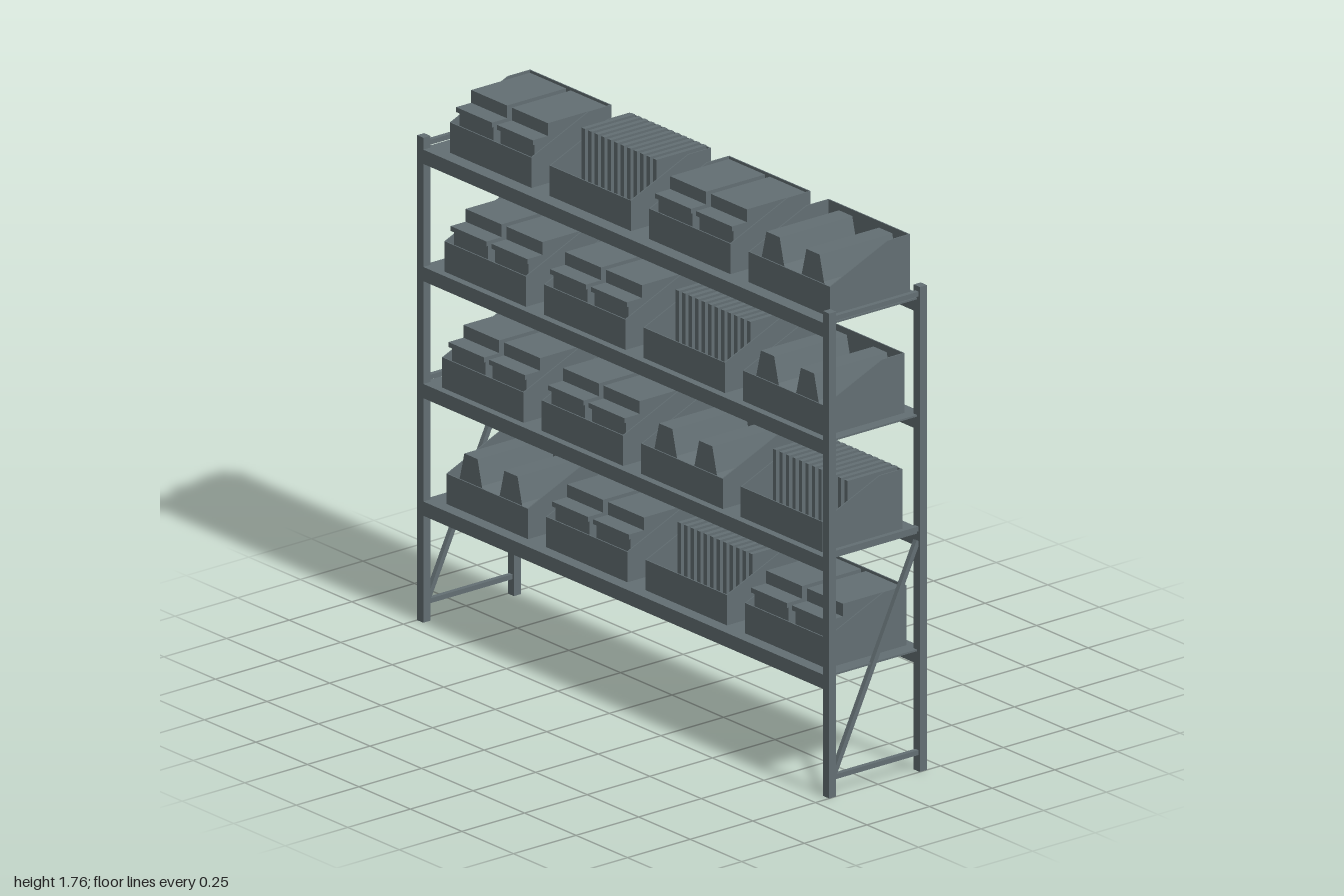
import * as THREE from 'three';

const steel = new THREE.MeshStandardMaterial({ color: 0x636f73, side: THREE.DoubleSide });
steel.name = 'grey steel';

const BIN_W = 0.396, BIN_D = 0.32, BIN_H = 0.197, LIP = 0.1;

function add(parent, name, geometry, x = 0, y = 0, z = 0) {
  const mesh = new THREE.Mesh(geometry, steel);
  mesh.name = name;
  mesh.position.set(x, y, z);
  parent.add(mesh);
  return mesh;
}

// Box given by its limits on each axis
function box(parent, name, x0, x1, y0, y1, z0, z1) {
  return add(parent, name, new THREE.BoxGeometry(x1 - x0, y1 - y0, z1 - z0),
    (x0 + x1) / 2, (y0 + y1) / 2, (z0 + z1) / 2);
}

function polygon(points) {
  return new THREE.Shape(points.map(([x, y]) => new THREE.Vector2(x, y)));
}

// Open picking bin with a low front lip and sloped side walls
function makeBin() {
  const bin = new THREE.Group();
  const w = BIN_W / 2, d = BIN_D / 2, t = 0.004;
  box(bin, 'binFloor', -w, w, 0, t, -d, d);
  box(bin, 'binBack', -w, w, 0, BIN_H, -d, -d + t);
  box(bin, 'binLip', -w, w, 0, LIP, d - t, d);
  const side = polygon([[-d, 0], [d, 0], [d, BIN_H], [d - 0.09, BIN_H], [-d, LIP]]);
  for (const x of [-w, w - t]) {
    const geometry = new THREE.ExtrudeGeometry(side, { depth: t, bevelEnabled: false });
    geometry.rotateY(Math.PI / 2);
    add(bin, 'binSide', geometry, x);
  }
  return bin;
}

// Contents of the bins
const fill = {
  // two stacks of lidded cartons, the upper one set back
  cartons(bin) {
    for (const s of [-1, 1]) {
      const c = s * 0.099;
      box(bin, 'lowerCarton', c - 0.082, c + 0.082, 0.004, 0.134, -0.145, 0.135);
      box(bin, 'cartonLid', c - 0.087, c + 0.087, 0.134, 0.15, -0.15, 0.145);
      box(bin, 'upperCarton', c - 0.087, c + 0.087, 0.15, 0.192, -0.15, 0.085);
    }
  },
  // row of upright plates
  plates(bin) {
    const n = 12, pitch = 0.0315;
    for (let i = 0; i < n; i++) {
      const x = (i - (n - 1) / 2) * pitch;
      box(bin, 'uprightPlate', x - 0.008, x + 0.008, 0.004, 0.202, -0.155, 0.045);
    }
  },
  // two long tapered blocks
  wedges(bin) {
    const shape = polygon([[-0.09, 0.004], [0.09, 0.004], [0.053, 0.1], [0.032, 0.183], [-0.032, 0.183], [-0.053, 0.1]]);
    for (const s of [-1, 1]) {
      add(bin, 'taperedBlock', new THREE.ExtrudeGeometry(shape, { depth: 0.29, bevelEnabled: false }),
        s * 0.097, 0, -0.145);
    }
  },
};

export function createModel() {
  const model = new THREE.Group();
  model.name = 'shelvingRack';

  // End frames: posts, horizontal ties and one diagonal each
  for (const s of [-1, 1]) {
    const frame = new THREE.Group();
    frame.name = s > 0 ? 'leftFrame' : 'rightFrame';
    const x = s * 0.985;
    for (const z of [-0.181, 0.181]) {
      box(frame, 'post', x - 0.015, x + 0.015, 0, 1.6, z - 0.014, z + 0.014);
    }
    for (const y of [0.062, 0.8, 1.575]) {
      box(frame, 'tie', x - 0.008, x + 0.008, y - 0.008, y + 0.008, -0.168, 0.168);
    }
    const dy = 0.69, dz = -0.334;
    const brace = add(frame, 'diagonalBrace',
      new THREE.BoxGeometry(0.016, Math.hypot(dy, dz), 0.016), x, 0.415, 0);
    brace.rotation.x = Math.atan2(dz, dy);
    model.add(frame);
  }

  // Shelves from bottom to top with their four bins
  const rows = [
    { y: 0.4, x: -0.711, z: -0.007, bins: ['wedges', 'cartons', 'plates', 'cartons'] },
    { y: 0.788, x: -0.711, z: 0.01, bins: ['cartons', 'cartons', 'wedges', 'plates'] },
    { y: 1.174, x: -0.7, z: 0.01, bins: ['cartons', 'cartons', 'plates', 'wedges'] },
    { y: 1.561, x: -0.7, z: -0.012, bins: ['cartons', 'plates', 'cartons', 'wedges'] },
  ];
  for (const row of rows) {
    const shelf = new THREE.Group();
    shelf.name = 'shelf';
    box(shelf, 'shelfPanel', -0.985, 0.985, row.y - 0.006, row.y, -0.168, 0.168);
    for (const z of [-0.181, 0.181]) {
      box(shelf, 'beam', -0.97, 0.97, row.y - 0.047, row.y, z - 0.014, z + 0.014);
    }
    row.bins.forEach((kind, i) => {
      const bin = makeBin();
      bin.name = 'binOf_' + kind;
      fill[kind](bin);
      bin.position.set(row.x + i * 0.483, row.y, row.z);
      shelf.add(bin);
    });
    model.add(shelf);
  }
  return model;
}
